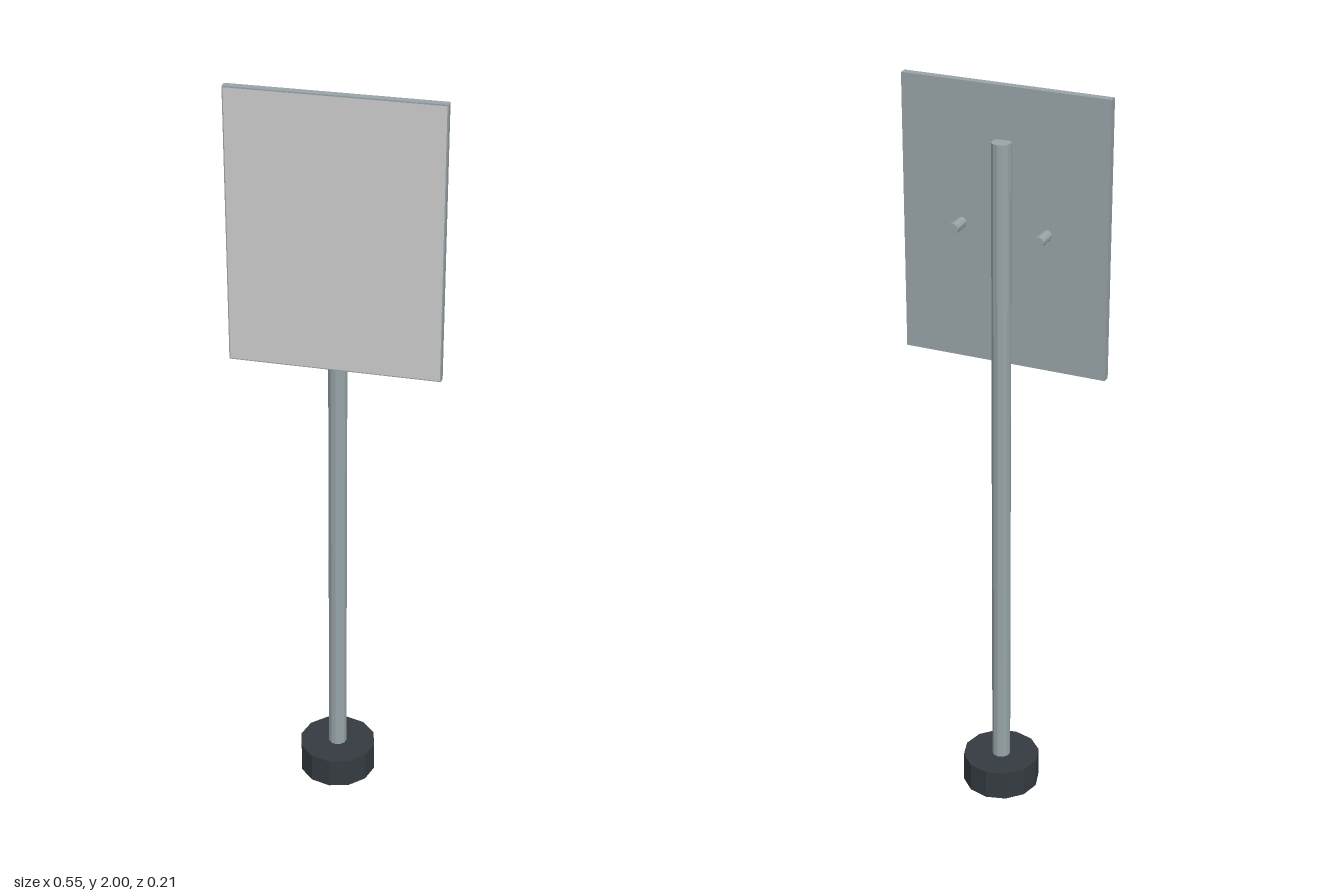
import * as THREE from 'three';

export function createModel() {
  const model = new THREE.Group();
  const steel = new THREE.MeshStandardMaterial({ color: 0x98a5a9, flatShading: true });
  const rubber = new THREE.MeshStandardMaterial({ color: 0x343b40, flatShading: true });
  const grey = new THREE.MeshStandardMaterial({ color: 0xcccccc });

  const add = (name, geometry, material, x, y, z) => {
    const mesh = new THREE.Mesh(geometry, material);
    mesh.name = name;
    mesh.position.set(x, y, z);
    model.add(mesh);
    return mesh;
  };

  // Twelve-sided foot and the pole standing in it
  add('base', new THREE.CylinderGeometry(0.105, 0.105, 0.084, 12), rubber, 0, 0.042, 0);
  add('pole', new THREE.CylinderGeometry(0.025, 0.025, 1.825, 12), steel, 0, 0.9525, 0);

  // Sign panel in front of the pole, with a plain face sheet
  add('signPanel', new THREE.BoxGeometry(0.546, 0.725, 0.021), steel, 0, 1.6375, 0.0285);
  add('signFace', new THREE.PlaneGeometry(0.54, 0.719), grey, 0, 1.6375, 0.04);

  // Pair of bolts sticking out of the panel's back
  for (const side of [-1, 1]) {
    const name = side > 0 ? 'leftBolt' : 'rightBolt';
    const bolt = add(name, new THREE.CylinderGeometry(0.0135, 0.0135, 0.06, 10), steel, side * 0.114, 1.638, -0.005);
    bolt.rotation.x = Math.PI / 2;
  }
  return model;
}
